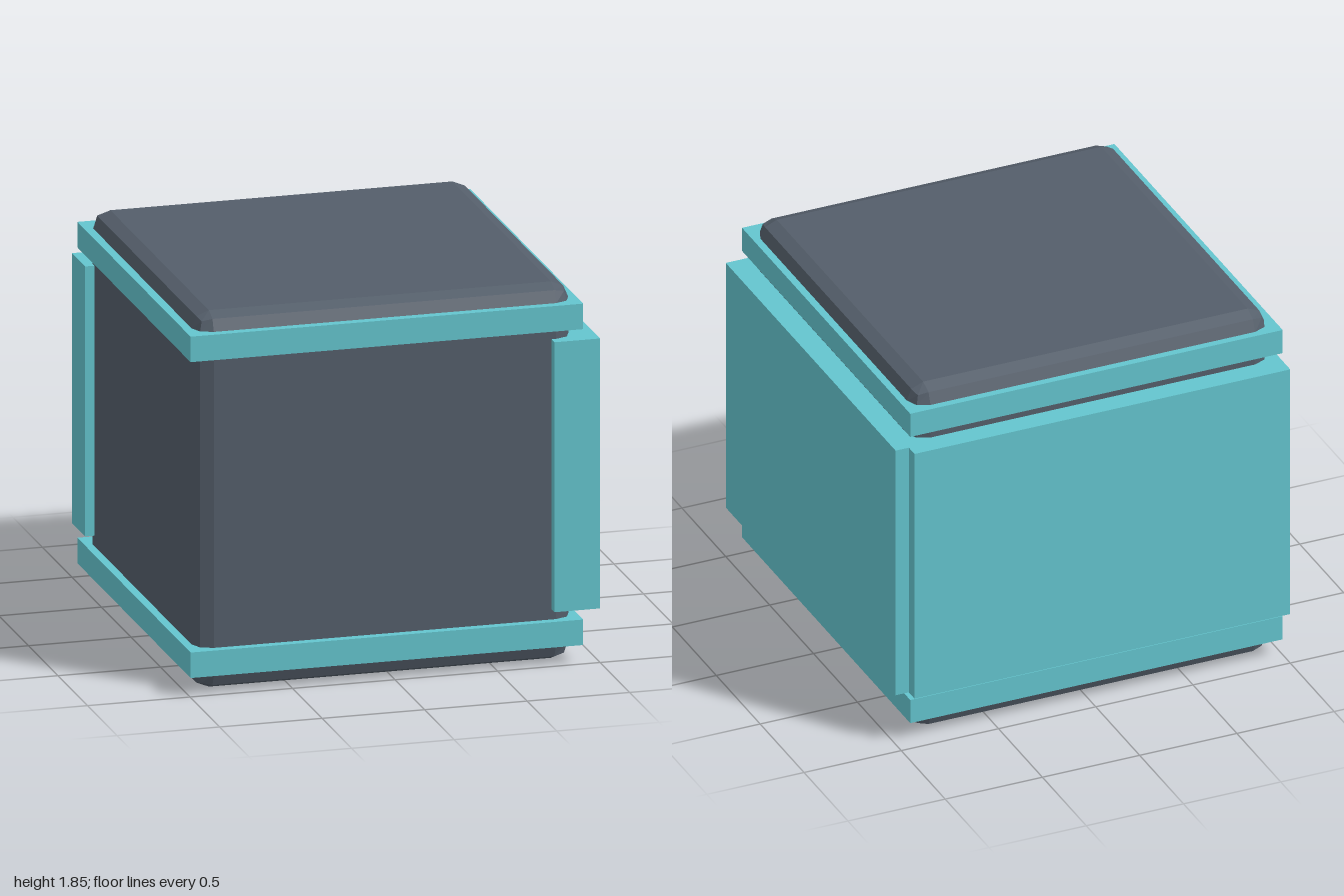
import * as THREE from 'three';
import { RoundedBoxGeometry } from 'three/addons/geometries/RoundedBoxGeometry.js';

const slate = new THREE.MeshStandardMaterial({ color: 0x545e6a });
slate.name = 'slate grey';
const teal = new THREE.MeshStandardMaterial({ color: 0x64c5ce });
teal.name = 'teal';

// Box given by its extents on each axis
function block(name, [x0, x1], [y0, y1], [z0, z1]) {
  const mesh = new THREE.Mesh(new THREE.BoxGeometry(x1 - x0, y1 - y0, z1 - z0), teal);
  mesh.position.set((x0 + x1) / 2, (y0 + y1) / 2, (z0 + z1) / 2);
  mesh.name = name;
  return mesh;
}

export function createModel() {
  const model = new THREE.Group();
  model.name = 'bandedCube';

  // Core cube with two-step faceted edges
  const coreShape = new RoundedBoxGeometry(1.84, 1.845, 1.84, 1, 0.086);
  coreShape.computeVertexNormals();
  const core = new THREE.Mesh(coreShape, slate);
  core.name = 'core';
  core.position.set(-0.035, 0.9225, 0.03);
  model.add(core);

  // Bands around the bottom and top
  for (const [name, y] of [['lowerBand', 0.09], ['upperBand', 1.638]]) {
    model.add(block(name, [-0.995, 0.92], [y, y + 0.125], [-0.925, 0.992]));
  }

  // Side and back panels, leaving a notch where they meet
  const panelHeight = [0.265, 1.588];
  model.add(block('leftPanel', [0.777, 1], panelHeight, [-0.935, 1]));
  model.add(block('backPanel', [-1, 0.932], panelHeight, [-1, -0.777]));

  return model;
}
